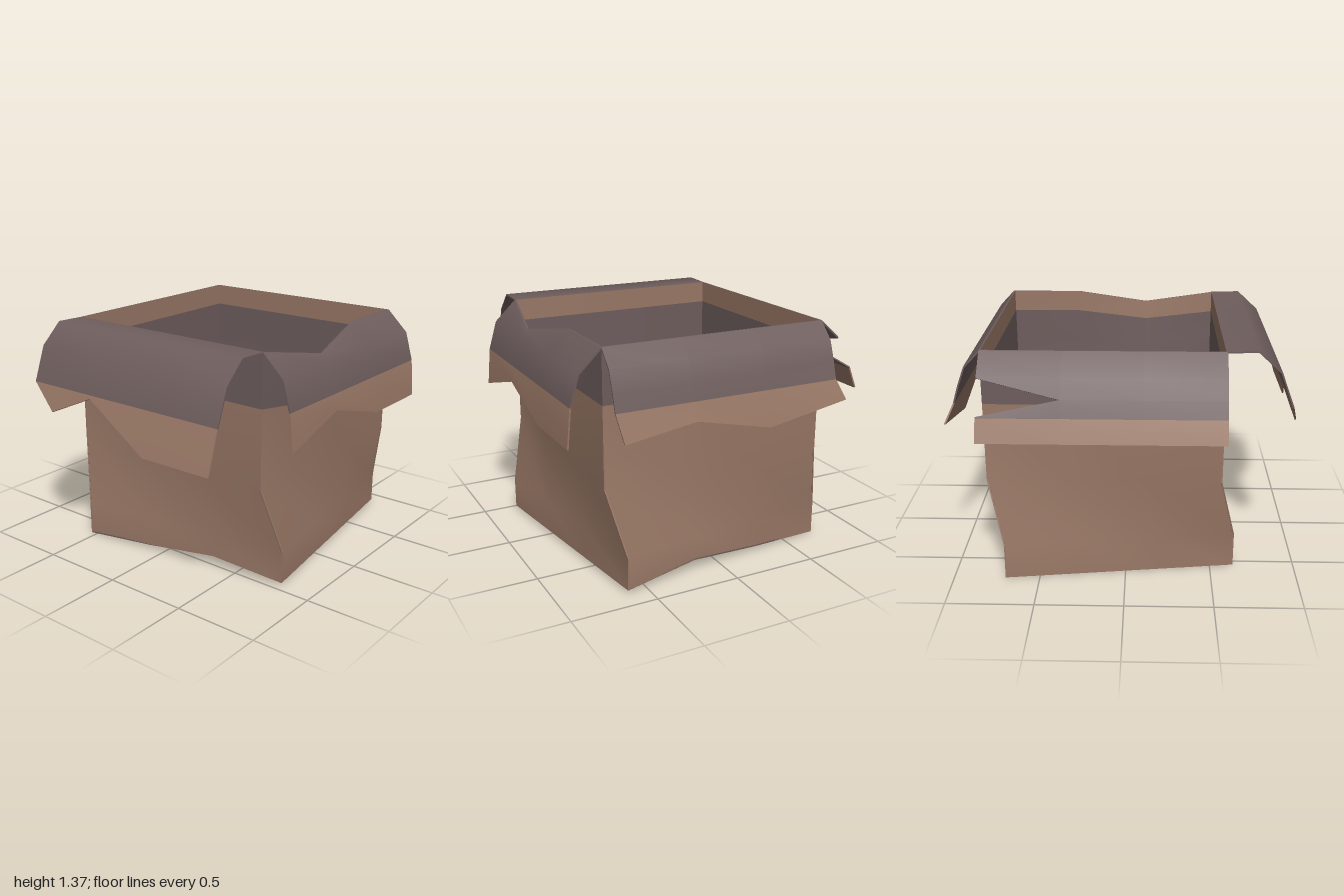
import * as THREE from 'three';

const brown = new THREE.MeshStandardMaterial({ color: 0x997866 });
brown.name = 'cardboardBrown';
const grey = new THREE.MeshStandardMaterial({ color: 0x6e5d5d });
grey.name = 'cardboardGrey';
const BROWN = 0, GREY = 1;
const THICK = 0.009;
const RIM_Y = 1.365;

// Corners (x, z) in the order front left, front right, back right, back left as seen from the front
const rim = [[-0.55, 0.71], [0.79, 0.71], [0.79, -0.64], [-0.55, -0.64]];
const base = [[-0.46, 0.8], [0.88, 0.62], [0.7, -0.72], [-0.64, -0.54]];
const outward = [[0, 1], [1, 0], [0, -1], [-1, 0]];
const sideNames = ['front', 'right', 'back', 'left'];
const lerp = THREE.MathUtils.lerp;

// Bottom heights of the warped floor, from front to back
const floorY = [0.02, 0.07, 0.027, 0];

// Point on a side: column 0..3 along the edge, pushed outward and shifted along
function sidePoint(corners, side, col, out, y, along = 0) {
  const a = corners[side], b = corners[(side + 1) % 4];
  const u = col / 3, o = outward[side];
  const x = lerp(a[0], b[0], u) + o[0] * out + o[1] * along;
  const z = lerp(a[1], b[1], u) + o[1] * out - o[0] * along;
  return new THREE.Vector3(x, y, z);
}

// Thin cardboard sheet from rows of points, with one colour per row on each face
function sheet(name, rows, frontColours, backColours) {
  const nr = rows.length, nc = rows[0].length, n = nr * nc;
  const pts = rows.flat();
  const quads = [];
  for (let r = 0; r < nr - 1; r++) {
    for (let c = 0; c < nc - 1; c++) {
      const a = r * nc + c, d = a + nc;
      quads.push({ r, tris: [a, d, d + 1, a, d + 1, a + 1] });
    }
  }
  const front = new THREE.BufferGeometry().setFromPoints(pts);
  front.setIndex(quads.flatMap(q => q.tris));
  front.computeVertexNormals();
  const normals = pts.map((p, i) => new THREE.Vector3().fromBufferAttribute(front.attributes.normal, i));
  const inner = pts.map((p, i) => p.clone().addScaledVector(normals[i], -THICK));

  const pos = [...pts, ...inner];
  const nor = [...normals, ...normals.map(v => v.clone().negate())];
  const lists = [[], []];
  for (const { r, tris } of quads) {
    lists[frontColours[r]].push(...tris);
    lists[backColours[r]].push(...tris.map(i => i + n).reverse());
  }

  // Cut edge running round the sheet, counter-clockwise from the front
  const loop = [];
  for (let r = 0; r < nr; r++) loop.push(r * nc);
  for (let c = 1; c < nc; c++) loop.push((nr - 1) * nc + c);
  for (let r = nr - 2; r >= 0; r--) loop.push(r * nc + nc - 1);
  for (let c = nc - 2; c > 0; c--) loop.push(c);
  loop.forEach((i, k) => {
    const j = loop[(k + 1) % loop.length];
    const s = pos.length;
    const face = new THREE.Vector3().subVectors(pts[j], pts[i]).cross(normals[i]).normalize();
    pos.push(pts[i], inner[i], inner[j], pts[j]);
    for (let m = 0; m < 4; m++) nor.push(face);
    const row = Math.min(Math.floor(Math.min(i, j) / nc), nr - 2);
    lists[frontColours[row]].push(s, s + 1, s + 2, s, s + 2, s + 3);
  });

  const geo = new THREE.BufferGeometry().setFromPoints(pos);
  geo.setAttribute('normal', new THREE.Float32BufferAttribute(nor.flatMap(v => v.toArray()), 3));
  geo.setIndex([...lists[0], ...lists[1]]);
  geo.addGroup(0, lists[0].length, 0);
  geo.addGroup(lists[0].length, lists[1].length, 1);
  const mesh = new THREE.Mesh(geo, [brown, grey]);
  mesh.name = name;
  return mesh;
}

// Rim offset and height; the front edge is dented at its second column
const rimShape = (side, col) => (side === 0 && col === 1 ? [0.08, 1.28] : [0, RIM_Y]);

// Wall: straight at the top, twisted towards the base
function wall(side) {
  const cols = [0, 1, 2, 3];
  const rows = [1, 0.83, 0.6, 0].map(f => cols.map(c => {
    const [out, y] = rimShape(side, c);
    return sidePoint(rim, side, c, out * f, lerp(0.59, y, f));
  }));
  rows.push(cols.map(c => sidePoint(base, side, c, 0, 0.21)));
  const bottoms = [[0, 0, 0, 0], [0, 1, 2, 3], [3, 3, 3, 3], [3, 2, 1, 0]][side];
  rows.push(cols.map(c => sidePoint(base, side, c, 0, floorY[bottoms[c]])));
  return sheet(sideNames[side] + 'Wall', rows,
    [GREY, GREY, BROWN, BROWN, BROWN], [BROWN, GREY, GREY, GREY, GREY]);
}

// Flap rows from a profile of [out, y], with moved points keyed by "row,column"
function flapRows(side, profile, moved = {}) {
  return profile.map((p, r) => [0, 1, 2, 3].map(c => {
    const [out, y, along] = moved[r + ',' + c] || (r === 0 ? rimShape(side, c) : p);
    return sidePoint(rim, side, c, out, y, along);
  }));
}

function flap(side, profile, moved) {
  const colours = profile.slice(1).map((p, i) => (i === profile.length - 2 ? BROWN : GREY));
  return sheet(sideNames[side] + 'Flap', flapRows(side, profile, moved), colours, colours);
}

export function createModel() {
  const box = new THREE.Group();
  box.name = 'openCardboardBox';

  for (let side = 0; side < 4; side++) box.add(wall(side));

  // Warped floor
  const floorRows = [3, 2, 1, 0].map(k => [0, 1, 2, 3].map(c => {
    const l = sidePoint(base, 3, 3 - k, 0, 0), r = sidePoint(base, 1, k, 0, 0);
    return l.lerp(r, c / 3).setY(floorY[k] + THICK);
  }));
  box.add(sheet('floor', floorRows, [GREY, GREY, GREY], [BROWN, BROWN, BROWN]));

  // Flaps with ragged ends
  box.add(flap(0, [[0, RIM_Y], [0.13, 1.24], [0.18, 1.07], [0.2, 0.85]], { '3,1': [0.19, 0.975] }));
  box.add(flap(1, [[0, RIM_Y], [0.09, 1.27], [0.13, 1.16], [0.16, 1.06], [0.2, 0.87]], {
    '4,0': [0.205, 0.905, 0.03], '4,1': [0.19, 0.96], '4,2': [0.2, 0.86], '4,3': [0.21, 0.95, 0.04],
  }));
  box.add(flap(3, [[0, RIM_Y], [0.17, 1.37], [0.3, 1.25], [0.375, 1.05], [0.45, 0.81]], {
    '4,0': [0.42, 0.91, 0.18], '4,1': [0.38, 1.03],
  }));

  // Back flap, torn open from one side into an upper and a lower piece
  const upper = flapRows(2, [[0, RIM_Y], [0.123, 1.256], [0.18, 1.15]], { '2,0': [0.127, 1.249] });
  const lower = flapRows(2, [[0.18, 1.15], [0.225, 1.06], [0.275, 0.935]], {
    '0,0': [0.222, 1.066], '0,1': [0.18, 1.15], '0,2': [0.18, 1.15], '0,3': [0.18, 1.15],
  });
  box.add(sheet('backFlapUpper', upper, [GREY, GREY], [GREY, GREY]));
  box.add(sheet('backFlapLower', lower, [GREY, BROWN], [GREY, BROWN]));
  return box;
}
